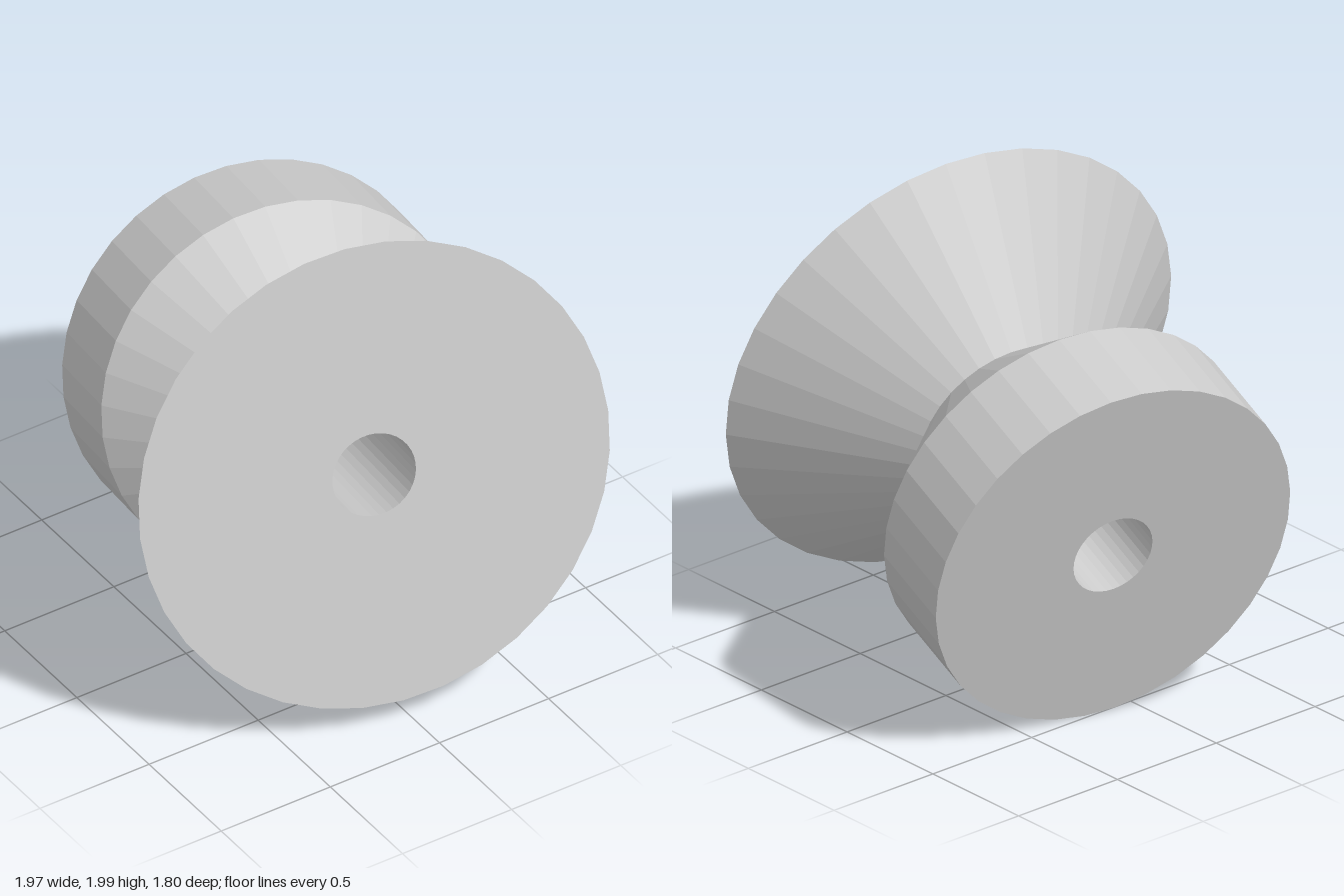
import * as THREE from 'three';

export function createModel() {
  const group = new THREE.Group();
  const material = new THREE.MeshStandardMaterial({ color: 0xcccccc, flatShading: true });

  // Closed profile: back cap, straight rear band, two cones meeting at the waist, front cap, bore
  const length = 1.335, bore = 0.171;
  const profile = [
    [bore, -length], [0.768, -length], [0.768, -length + 0.42],
    [0.405, -0.517], [0.965, 0], [bore, 0], [bore, -length],
  ].map(([r, y]) => new THREE.Vector2(r, y));

  const spool = new THREE.Mesh(new THREE.LatheGeometry(profile, 36), material);
  spool.name = 'spool';

  // Tilt the axis and place the centre of the wide front face
  const axis = new THREE.Vector3(-0.202, 0.232, 0.951).normalize();
  spool.quaternion.setFromUnitVectors(new THREE.Vector3(0, 1, 0), axis);
  spool.position.set(-0.038, 1.062, 0.605);

  group.add(spool);
  return group;
}
